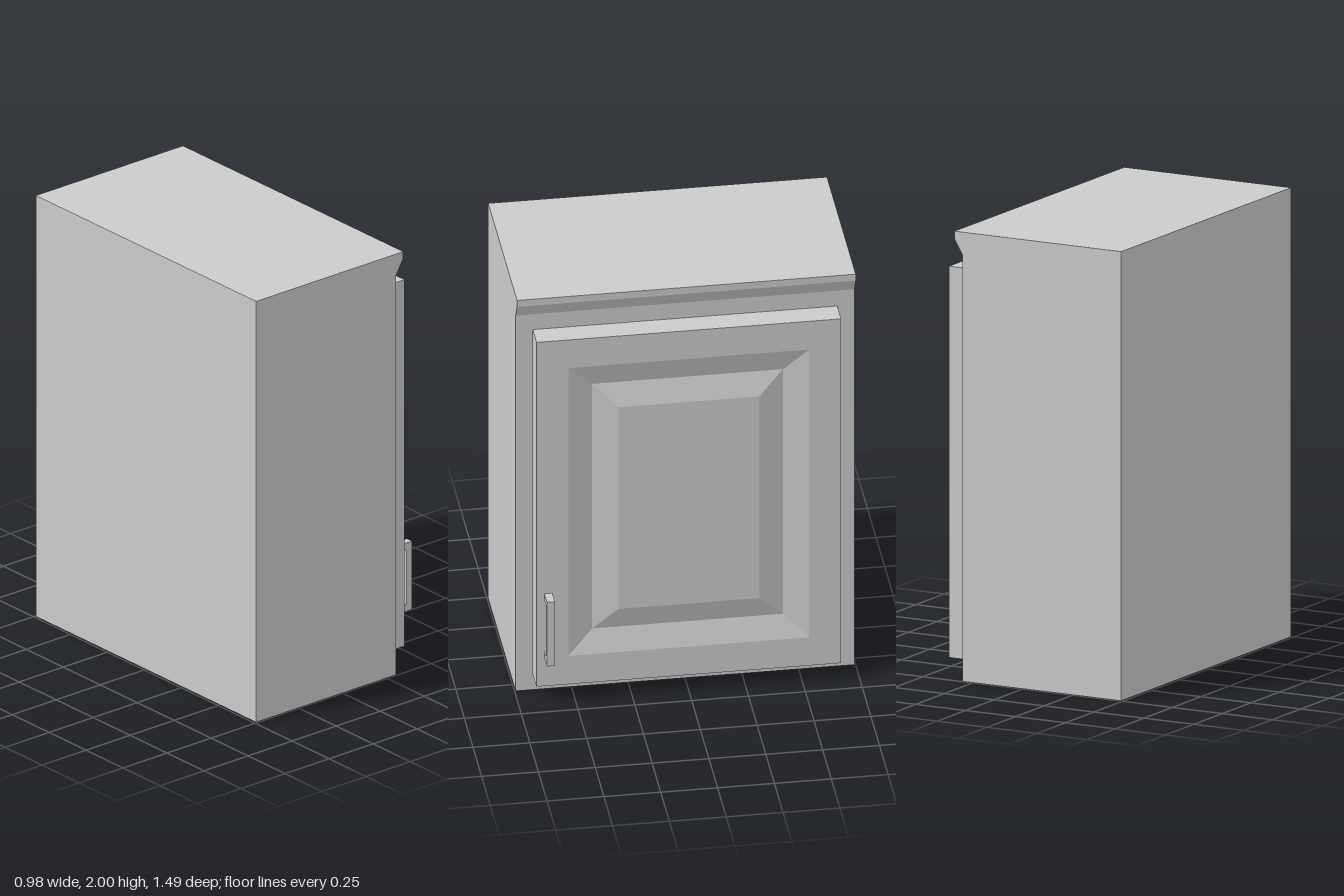
import * as THREE from 'three';

const material = new THREE.MeshStandardMaterial({ color: 0xcccccc, flatShading: true });

function makeMesh(name, geometry) {
  const mesh = new THREE.Mesh(geometry, material);
  mesh.name = name;
  return mesh;
}

// Extrude an x-y outline along z between z0 and z1
function extrudeOutline(points, z0, z1, holePoints) {
  const toVectors = (list) => list.map(([x, y]) => new THREE.Vector2(x, y));
  const shape = new THREE.Shape(toVectors(points));
  if (holePoints) shape.holes.push(new THREE.Path(toVectors(holePoints)));
  const geometry = new THREE.ExtrudeGeometry(shape, { depth: z1 - z0, bevelEnabled: false });
  return geometry.translate(0, 0, z0);
}

// Join concentric rectangles [x, half depth, half height], from back to front, and cap both ends
function rectangleLoft(sections, centreY) {
  const rings = sections.map(([x, hz, hy]) => [
    [x, centreY - hy, hz], [x, centreY - hy, -hz],
    [x, centreY + hy, -hz], [x, centreY + hy, hz],
  ]);
  const positions = [];
  const quad = (a, b, c, d) => positions.push(...a, ...b, ...c, ...a, ...c, ...d);
  for (let k = 0; k < rings.length - 1; k++) {
    const a = rings[k], b = rings[k + 1];
    for (let i = 0; i < 4; i++) {
      const j = (i + 1) % 4;
      quad(a[i], a[j], b[j], b[i]);
    }
  }
  quad(...[...rings[0]].reverse());
  quad(...rings[rings.length - 1]);
  const geometry = new THREE.BufferGeometry();
  geometry.setAttribute('position', new THREE.Float32BufferAttribute(positions, 3));
  geometry.computeVertexNormals();
  return geometry;
}

export function createModel() {
  const group = new THREE.Group();
  group.name = 'wallCabinet';

  // Cabinet box with an overhanging cornice along the door side
  group.add(makeMesh('cabinetBody', extrudeOutline([
    [-0.49, 0], [0.305, 0], [0.305, 1.9], [0.345, 1.967], [0.345, 2], [-0.49, 2],
  ], -0.745, 0.745)));

  // Door: slab, V-shaped groove, then a raised centre panel
  group.add(makeMesh('door', rectangleLoft([
    [0.305, 0.67, 0.871],
    [0.415, 0.67, 0.871],
    [0.415, 0.53, 0.728],
    [0.381, 0.42, 0.619],
    [0.415, 0.31, 0.51],
  ], 0.951)));

  // Bracket-shaped pull, low on the opening side
  group.add(makeMesh('doorHandle', extrudeOutline([
    [0.415, 0.222], [0.488, 0.222], [0.488, 0.547], [0.415, 0.547],
    [0.415, 0.515], [0.455, 0.515], [0.455, 0.254], [0.415, 0.254],
  ], 0.6, 0.635)));

  return group;
}
